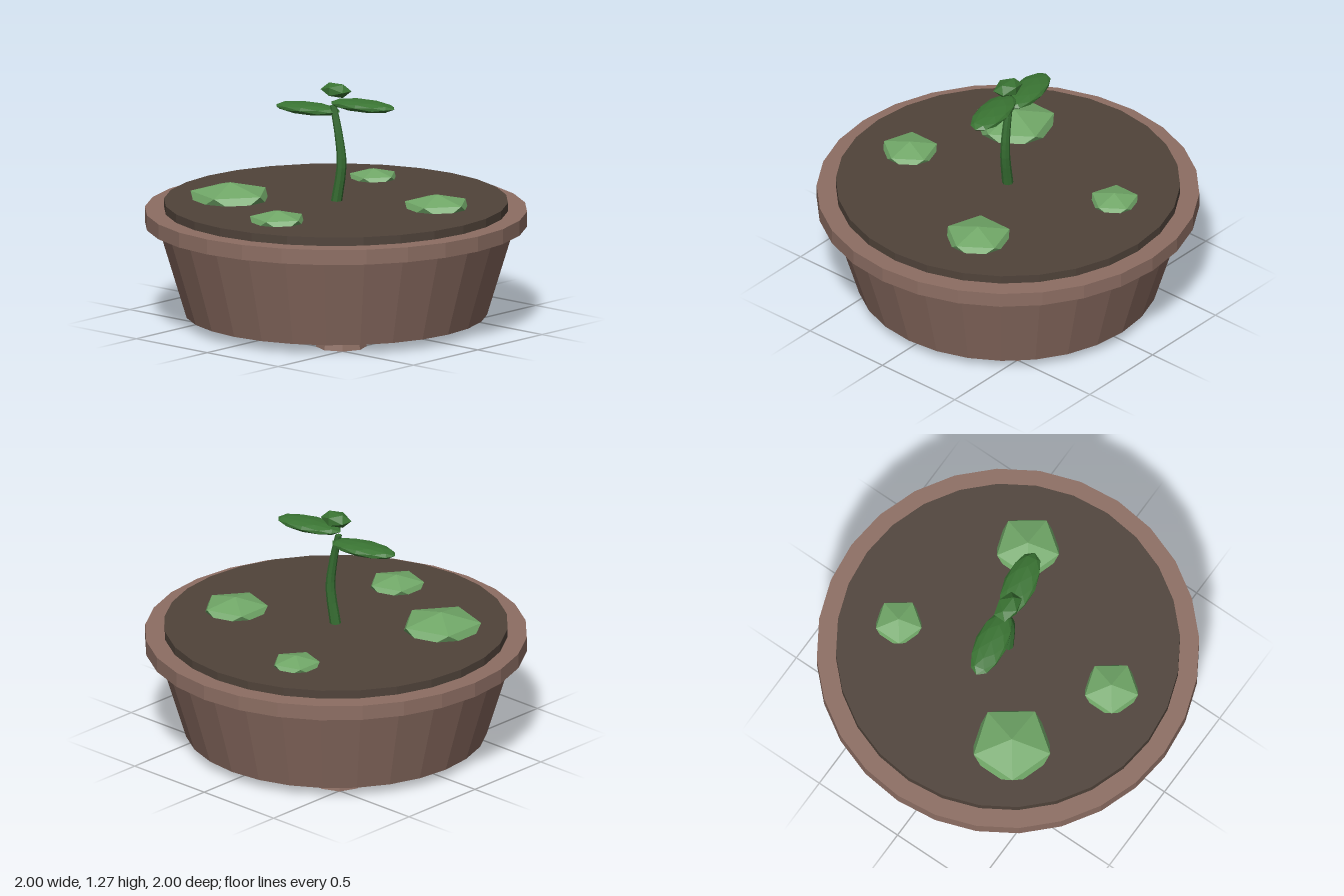
import * as THREE from 'three';

const material = (name, color) => {
  const m = new THREE.MeshStandardMaterial({ color, flatShading: true });
  m.name = name;
  return m;
};

export function createModel() {
  const clay = material('clay brown', 0x8d6e63);
  const earth = material('dark soil', 0x50433a);
  const moss = material('moss green', 0x71a868);
  const leafGreen = material('leaf green', 0x3a7533);
  const stemGreen = material('stem green', 0x356c31);
  const model = new THREE.Group();
  model.name = 'pottedSprout';

  const add = (name, geometry, mat, x, y, z) => {
    const mesh = new THREE.Mesh(geometry, mat);
    mesh.name = name;
    mesh.position.set(x, y, z);
    model.add(mesh);
    return mesh;
  };

  // Bowl, rim and soil share the same 28 sides
  const disc = (name, mat, top, bottom, y0, y1) =>
    add(name, new THREE.CylinderGeometry(top, bottom, y1 - y0, 28), mat, 0, (y0 + y1) / 2, 0);
  disc('bowl', clay, 0.945, 0.79, 0.05, 0.56);
  disc('rim', clay, 1, 1, 0.525, 0.605);
  disc('soil', earth, 0.9, 0.9, 0.59, 0.65);

  // Four flared feet
  for (const x of [-1, 1]) for (const z of [-1, 1])
    add('foot', new THREE.CylinderGeometry(0.12, 0.133, 0.06, 8), clay, x * 0.413, 0.03, z * 0.413);

  // Moss mounds: flattened icosahedra with a corner pointing up, half sunk in the soil
  const mound = new THREE.IcosahedronGeometry(1, 0);
  mound.rotateZ(-Math.atan(2 / (1 + Math.sqrt(5))));
  for (const [x, z, r] of [[-0.44, 0.335, 0.235], [0.505, -0.23, 0.19], [0.115, 0.58, 0.163], [-0.225, -0.54, 0.14]])
    add('mossMound', mound, moss, x, 0.647, z).scale.set(r, r * 0.385, r);

  // Curved, tapering stem: a cylinder bent along a curve
  const path = new THREE.CatmullRomCurve3([
    new THREE.Vector3(0, 0.63, 0), new THREE.Vector3(0.032, 0.85, -0.008),
    new THREE.Vector3(0.016, 1.0, -0.004), new THREE.Vector3(-0.018, 1.155, 0),
  ]);
  const stem = new THREE.CylinderGeometry(0.018, 0.03, 1, 8, 10);
  const pos = stem.attributes.position;
  for (let i = 0; i < pos.count; i++) {
    const p = path.getPoint(pos.getY(i) + 0.5);
    pos.setXYZ(i, pos.getX(i) + p.x, p.y, pos.getZ(i) + p.z);
  }
  stem.computeVertexNormals();
  add('stem', stem, stemGreen, 0, 0, 0);

  // Two long leaves lying on opposite sides of the stem
  const leaf = new THREE.IcosahedronGeometry(1, 1);
  for (const [name, x, y, z] of [['rightLeaf', -0.18, 1.12, 0.02], ['leftLeaf', 0.157, 1.175, -0.035]]) {
    const mesh = add(name, leaf, leafGreen, x, y, z);
    mesh.scale.set(0.192, 0.031, 0.086);
    mesh.rotation.y = 0.2;
  }

  // Bud at the tip
  add('bud', new THREE.IcosahedronGeometry(1, 0), leafGreen, 0, 1.24, 0).scale.set(0.092, 0.041, 0.065);

  return model;
}
